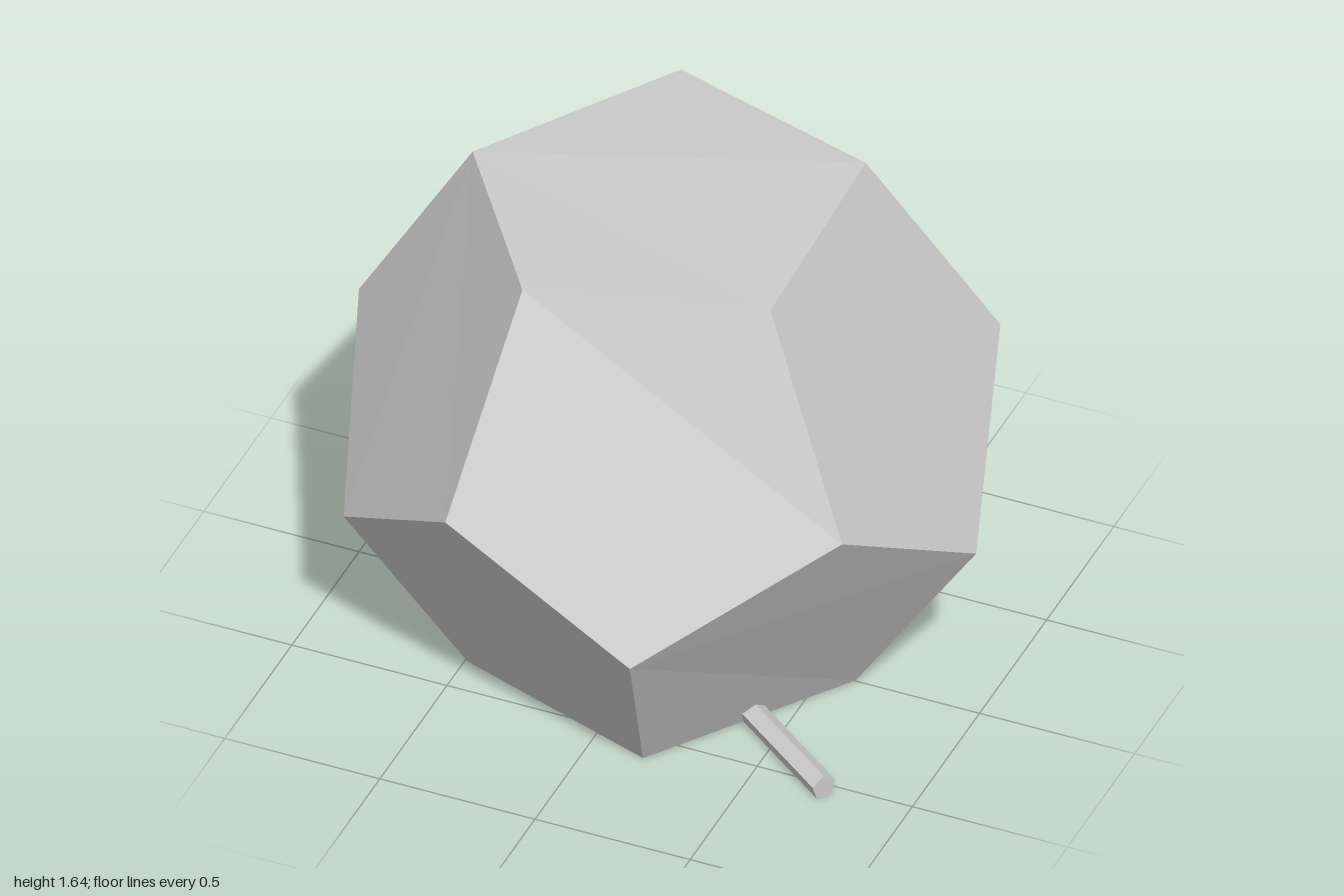
import * as THREE from 'three';

const material = new THREE.MeshStandardMaterial({ color: 0xcccccc, flatShading: true });

// Slightly irregular dodecahedron built from four rings of five corners
function createDodecahedron() {
  const top = [[-0.625, 1.61, 0.02], [-0.22, 1.61, 0.585], [0.495, 1.612, 0.39], [0.48, 1.64, -0.355], [-0.22, 1.61, -0.595]];
  const upper = [[-1, 0.975, 0], [-0.31, 0.975, 0.952], [0.81, 0.975, 0.585], [0.81, 0.975, -0.595], [-0.31, 0.975, -0.955]];
  const lower = [[-0.79, 0.61, 0.6], [0.285, 0.61, 0.952], [1, 0.61, 0.025], [0.285, 0.61, -0.955], [-0.82, 0.61, -0.57]];
  const bottom = [[-0.49, 0.004, 0.37], [0.175, 0.004, 0.6], [0.6, 0.004, 0], [0.175, 0.004, -0.565], [-0.52, 0.004, -0.37]];

  const faces = [top, [...bottom].reverse()];
  for (let i = 0; i < 5; i++) {
    const j = (i + 1) % 5;
    faces.push([top[i], upper[i], lower[i], upper[j], top[j]]);
    faces.push([lower[i], bottom[i], bottom[j], lower[j], upper[j]]);
  }

  // Each pentagon becomes a fan of three triangles
  const positions = [];
  for (const f of faces) {
    for (let k = 1; k < 4; k++) positions.push(...f[0], ...f[k], ...f[k + 1]);
  }
  const geometry = new THREE.BufferGeometry();
  geometry.setAttribute('position', new THREE.Float32BufferAttribute(positions, 3));
  geometry.computeVertexNormals();
  const mesh = new THREE.Mesh(geometry, material);
  mesh.name = 'dodecahedron';
  return mesh;
}

// Five-sided rod lying on the ground, poking out of a lower face
function createRod() {
  const length = 0.605;
  const geometry = new THREE.CylinderGeometry(0.041, 0.041, length, 5);
  geometry.rotateX(-Math.PI / 2); // axis along z, one ridge upward
  geometry.rotateX(0.02); // slight dip towards the outer end
  geometry.rotateY(Math.atan2(0.81, 0.59));
  geometry.translate(0.74 - 0.405 * length, 0.041, 0.557 - 0.295 * length);
  const mesh = new THREE.Mesh(geometry, material);
  mesh.name = 'groundRod';
  return mesh;
}

export function createModel() {
  const group = new THREE.Group();
  group.name = 'dodecahedronWithRod';
  group.add(createDodecahedron(), createRod());
  return group;
}
